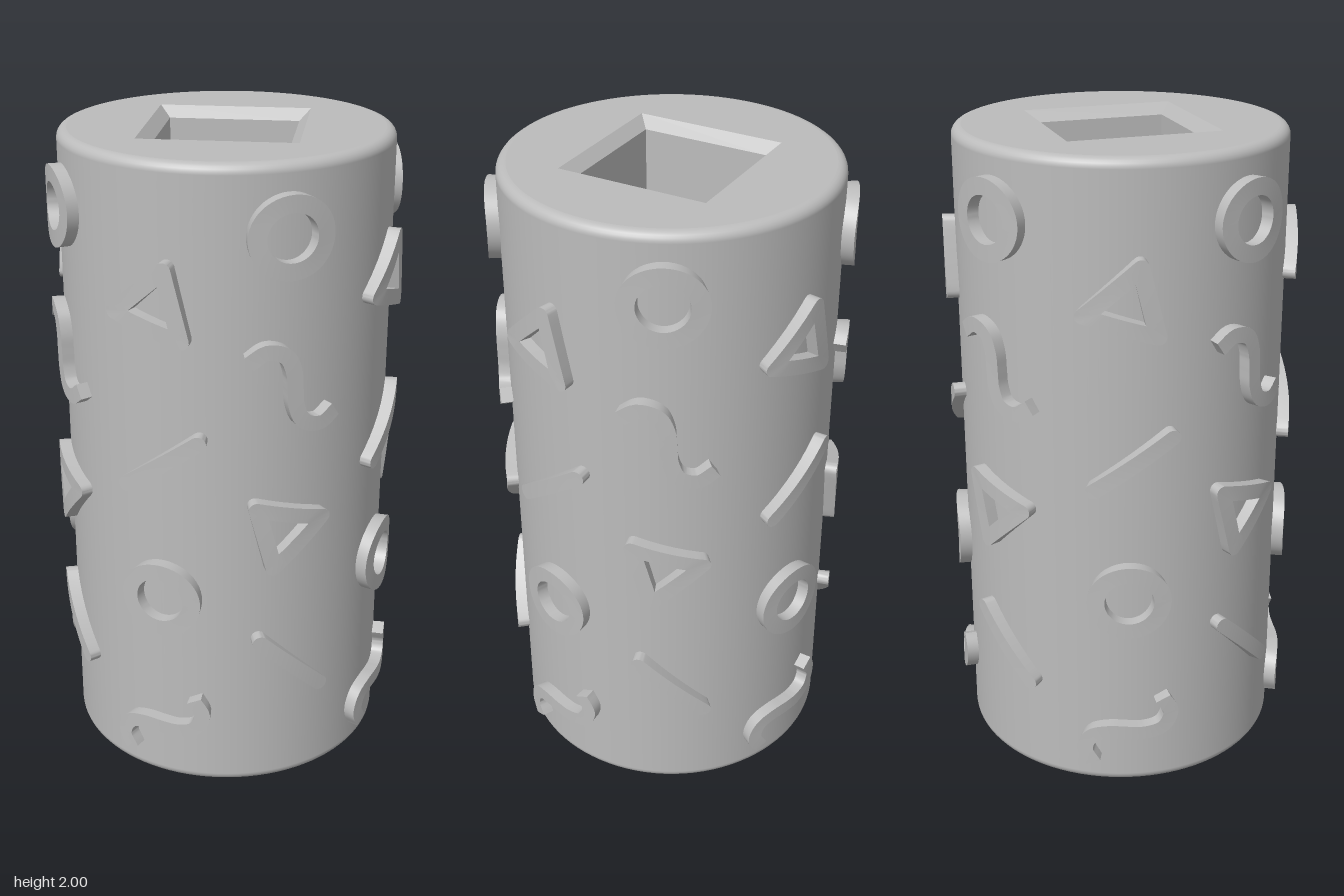
import * as THREE from 'three';
import { toCreasedNormals } from 'three/addons/utils/BufferGeometryUtils.js';

const R = 0.5, R_IN = 0.485, R_OUT = 0.537, H = 2;

// Non-indexed geometry from quads of Vector3 corners, skipping collapsed triangles
function quadGeometry(quads, crease) {
  const pos = [];
  const tri = (a, b, c) => {
    const area = b.clone().sub(a).cross(c.clone().sub(a)).length();
    if (area > 1e-8) for (const p of [a, b, c]) pos.push(p.x, p.y, p.z);
  };
  for (const [a, b, c, d] of quads) { tri(a, b, c); tri(a, c, d); }
  const g = new THREE.BufferGeometry();
  g.setAttribute('position', new THREE.Float32BufferAttribute(pos, 3));
  g.computeVertexNormals();
  return toCreasedNormals(g, crease);
}

// Raised ribbon wrapped round the cylinder; left and right are its two flat outlines
function ribbon({ left, right, closed }, u0, v0, angle) {
  const c = Math.cos(angle), s = Math.sin(angle);
  const wrap = ([x, y], r) => {
    const t = (u0 + x * c - y * s) / R;
    return new THREE.Vector3(r * Math.sin(t), v0 + x * s + y * c, r * Math.cos(t));
  };
  const row = (pts, r) => pts.map(p => wrap(p, r));
  const lt = row(left, R_OUT), lb = row(left, R_IN), rt = row(right, R_OUT), rb = row(right, R_IN);
  const quads = [], n = left.length;
  for (let i = 0; i < (closed ? n : n - 1); i++) {
    const j = (i + 1) % n;
    quads.push([lt[i], rt[i], rt[j], lt[j]], [rb[i], rb[j], rt[j], rt[i]], [lb[j], lb[i], lt[i], lt[j]]);
  }
  if (!closed) {
    const e = n - 1;
    quads.push([lb[0], rb[0], rt[0], lt[0]], [rb[e], lb[e], lt[e], rt[e]]);
  }
  return quadGeometry(quads, 0.6);
}

const polar = (r, a) => [r * Math.cos(a), r * Math.sin(a)];

function ringOutline() {
  const left = [], right = [];
  for (let i = 0; i < 48; i++) {
    const a = i / 48 * Math.PI * 2;
    left.push(polar(0.07, a));
    right.push(polar(0.12, a));
  }
  return { left, right, closed: true };
}

// Triangle with rounded outer corners and a sharp triangular opening
function triangleOutline() {
  const left = [], right = [], fillet = 0.022, third = Math.PI * 2 / 3;
  const outer = (k, da) => {
    const [x, y] = polar(0.12, k * third), [dx, dy] = polar(fillet, k * third + da);
    return [x + dx, y + dy];
  };
  const mix = (a, b, t) => [a[0] + (b[0] - a[0]) * t, a[1] + (b[1] - a[1]) * t];
  for (let k = 0; k < 3; k++) {
    const inner = polar(0.07, k * third), next = polar(0.07, (k + 1) * third);
    for (let i = 0; i <= 6; i++) {
      left.push(inner);
      right.push(outer(k, (i / 6 - 0.5) * third));
    }
    for (let i = 1; i < 8; i++) {
      left.push(mix(inner, next, i / 8));
      right.push(mix(outer(k, third / 2), outer(k + 1, -third / 2), i / 8));
    }
  }
  return { left, right, closed: true };
}

// Straight bar with round ends
function barOutline() {
  const left = [], right = [], half = 0.135, w = 0.023;
  const add = (x, h) => { left.push([x, h]); right.push([x, -h]); };
  for (let i = 0; i <= 6; i++) {
    const a = i / 6 * Math.PI / 2;
    add(-half - w * Math.cos(a), w * Math.sin(a));
  }
  for (let i = 1; i < 10; i++) add(-half + 2 * half * i / 10, w);
  for (let i = 6; i >= 0; i--) {
    const a = i / 6 * Math.PI / 2;
    add(half + w * Math.cos(a), w * Math.sin(a));
  }
  return { left, right, closed: false };
}

// S-shaped squiggle with flat ends
function squiggleOutline() {
  const first = [[-0.152, -0.022], [-0.138, 0.032], [-0.09, 0.056], [-0.04, 0.036]];
  const pts = [...first, [0, 0], ...first.map(([x, y]) => [-x, -y]).reverse()];
  const curve = new THREE.CatmullRomCurve3(pts.map(([x, y]) => new THREE.Vector3(x, y, 0)));
  const left = [], right = [], w = 0.023;
  for (let i = 0; i <= 40; i++) {
    const p = curve.getPointAt(i / 40), t = curve.getTangentAt(i / 40);
    left.push([p.x - t.y * w, p.y + t.x * w]);
    right.push([p.x + t.y * w, p.y - t.x * w]);
  }
  return { left, right, closed: false };
}

// Chamfered square socket sunk into the top end
function socketGeometry() {
  const loop = (h, y) => [[-h, h], [h, h], [h, -h], [-h, -h]].map(([x, z]) => new THREE.Vector3(x, y, z));
  const rows = [loop(0.233, H), loop(0.2, H - 0.033), loop(0.2, H - 0.3)];
  const quads = [rows[2]];
  for (let k = 0; k < 2; k++) for (let i = 0; i < 4; i++) {
    const j = (i + 1) % 4;
    quads.push([rows[k][j], rows[k + 1][j], rows[k + 1][i], rows[k][i]].reverse());
  }
  // inward-facing walls
  for (let i = 1; i < quads.length; i++) quads[i].reverse();
  return quadGeometry(quads, 0.2);
}

export function createModel() {
  const group = new THREE.Group();
  const grey = new THREE.MeshStandardMaterial({ color: 0xbcbcbc });
  grey.name = 'grey';
  const add = (name, geometry, parent = group) => {
    const m = new THREE.Mesh(geometry, grey);
    m.name = name;
    parent.add(m);
    return m;
  };

  // Roller wall with rounded rims
  const f = 0.03, profile = [];
  for (let i = 0; i <= 6; i++) {
    const a = i / 6 * Math.PI / 2;
    profile.push(new THREE.Vector2(R - f + f * Math.sin(a), f - f * Math.cos(a)));
  }
  const top = profile.map(p => new THREE.Vector2(p.x, H - p.y)).reverse();
  add('rollerWall', new THREE.LatheGeometry([...profile, ...top], 96));

  // End faces with square sockets
  const face = new THREE.Shape().absarc(0, 0, R - f, 0, Math.PI * 2, false);
  const hole = new THREE.Path();
  hole.moveTo(-0.233, -0.233).lineTo(-0.233, 0.233).lineTo(0.233, 0.233).lineTo(0.233, -0.233).closePath();
  face.holes.push(hole);
  const faceGeo = new THREE.ShapeGeometry(face, 48).rotateX(-Math.PI / 2).translate(0, H, 0);
  const socketGeo = socketGeometry();
  for (const end of ['top', 'bottom']) {
    const g = new THREE.Group();
    g.name = end + 'End';
    add(end + 'Face', faceGeo, g);
    add(end + 'Socket', socketGeo, g);
    if (end === 'bottom') { g.rotation.x = Math.PI; g.position.y = H; }
    group.add(g);
  }

  // Raised motifs: name, outline, arc position, height, angle in degrees
  const ring = ringOutline(), triangle = triangleOutline(), bar = barOutline(), squiggle = squiggleOutline();
  const motifs = [
    ['triangle', triangle, -0.141, 1.595, 73],
    ['bar', bar, -0.125, 1.12, 37],
    ['ring', ring, -0.134, 0.67, 0],
    ['squiggle', squiggle, -0.137, 0.21, 40],
    ['ring', ring, 0.232, 1.8, 0],
    ['squiggle', squiggle, 0.245, 1.36, -43],
    ['triangle', triangle, 0.225, 0.905, 14],
    ['bar', bar, 0.252, 0.439, -45],
  ].map(([name, outline, u, v, deg]) => [name, ribbon(outline, u, v, deg * Math.PI / 180)]);

  // The same motifs on each quarter turn
  for (let q = 0; q < 4; q++) {
    const side = new THREE.Group();
    side.name = 'motifs' + (q + 1);
    side.rotation.y = q * Math.PI / 2;
    for (const [name, geo] of motifs) add(name, geo, side);
    group.add(side);
  }
  return group;
}
